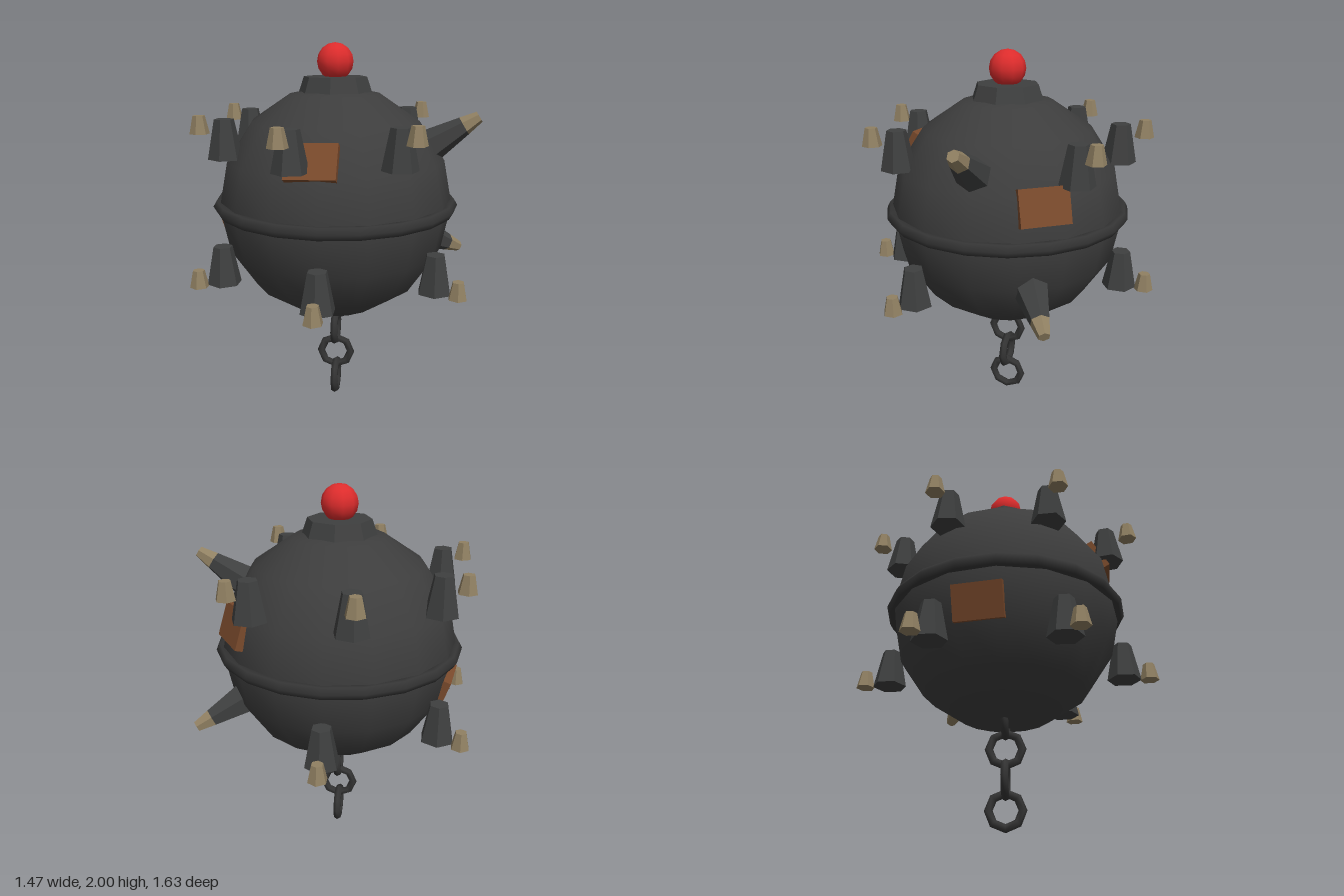
import * as THREE from 'three';

const CENTER = new THREE.Vector3(-0.03, 1.165, 0);

export function createModel() {
  const model = new THREE.Group();
  model.name = 'navalMine';

  const material = (name, color, flatShading = false) => {
    const m = new THREE.MeshStandardMaterial({ color, flatShading });
    m.name = name;
    return m;
  };
  const iron = material('darkIron', 0x3d3d3d);
  const spikeIron = material('spikeIron', 0x3e3f3f, true);
  const ringIron = material('ringIron', 0x343434);
  const rust = material('rust', 0x7a4a2c, true);
  const brass = material('tarnishedBrass', 0x908062, true);
  const red = material('redButton', 0xdd2c2c);

  // Everything on the mine is placed relative to the middle of the shell
  const body = new THREE.Group();
  body.name = 'mineBody';
  body.position.copy(CENTER);
  model.add(body);

  const add = (parent, name, geometry, mat, x = 0, y = 0, z = 0) => {
    const mesh = new THREE.Mesh(geometry, mat);
    mesh.name = name;
    mesh.position.set(x, y, z);
    parent.add(mesh);
    return mesh;
  };

  // Shell, seam ring, top collar and button
  add(body, 'shell', new THREE.SphereGeometry(0.625, 16, 8), iron);
  const ring = add(body, 'seamRing', new THREE.TorusGeometry(0.62, 0.036, 6, 20), ringIron);
  ring.rotation.x = Math.PI / 2;
  add(body, 'topCollar', new THREE.CylinderGeometry(0.165, 0.2, 0.1, 8), spikeIron, 0, 0.615, 0);
  add(body, 'button', new THREE.SphereGeometry(0.095, 10, 8), red, 0, 0.74, 0);

  // Contact horns: an iron stub with a brass tip further out along the same ray
  const stubGeometry = new THREE.CylinderGeometry(0.05, 0.09, 0.2, 6);
  const tipGeometry = new THREE.CylinderGeometry(0.03, 0.05, 0.09, 6);
  const addHorn = (azimuth, elevation, leaning) => {
    const horn = new THREE.Group();
    horn.name = 'contactHorn';
    const dir = new THREE.Vector3(
      Math.cos(elevation) * Math.cos(azimuth),
      Math.sin(elevation),
      Math.cos(elevation) * Math.sin(azimuth));
    const stub = add(horn, 'hornStub', stubGeometry, spikeIron);
    const tip = add(horn, 'hornTip', tipGeometry, brass);
    stub.position.copy(dir).multiplyScalar(0.691);
    tip.position.copy(dir).multiplyScalar(0.836);
    for (const part of [stub, tip]) {
      part.rotation.order = 'YXZ';
      part.rotation.y = Math.PI / 2 - azimuth;
      if (leaning) part.rotation.x = Math.PI / 2 - elevation;
    }
    body.add(horn);
  };
  // Only one horn in each row leans outwards; the rest stand upright
  const rad = THREE.MathUtils.degToRad;
  for (let i = 0; i < 7; i++) addHorn(i * Math.PI * 2 / 7, rad(32.1), i === 0);
  for (let i = 0; i < 6; i++) addHorn(rad(-30 + i * 60), rad(-24), i === 0);

  // Rust patches lying against the shell
  const patches = [
    [-0.04, 0.31, 0.53, 0.03],
    [0.49, 0.195, -0.34, 0],
    [-0.59, -0.2, -0.09, 0],
  ];
  const patchGeometry = new THREE.BoxGeometry(0.25, 0.18, 0.04);
  for (const [x, y, z, roll] of patches) {
    const patch = new THREE.Mesh(patchGeometry, rust);
    patch.name = 'rustPatch';
    patch.position.set(x, y, z).setLength(0.612);
    patch.lookAt(patch.position.clone().multiplyScalar(2));
    patch.rotateZ(roll);
    body.add(patch);
  }

  // Anchor chain, alternate links turned a quarter
  const linkGeometry = new THREE.TorusGeometry(0.086, 0.022, 6, 8);
  for (let i = 0; i < 4; i++) {
    const link = add(model, 'chainLink', linkGeometry, ringIron, CENTER.x, 0.11 + i * 0.155, 0);
    if (i % 2 === 0) link.rotation.y = Math.PI / 2;
  }

  return model;
}
